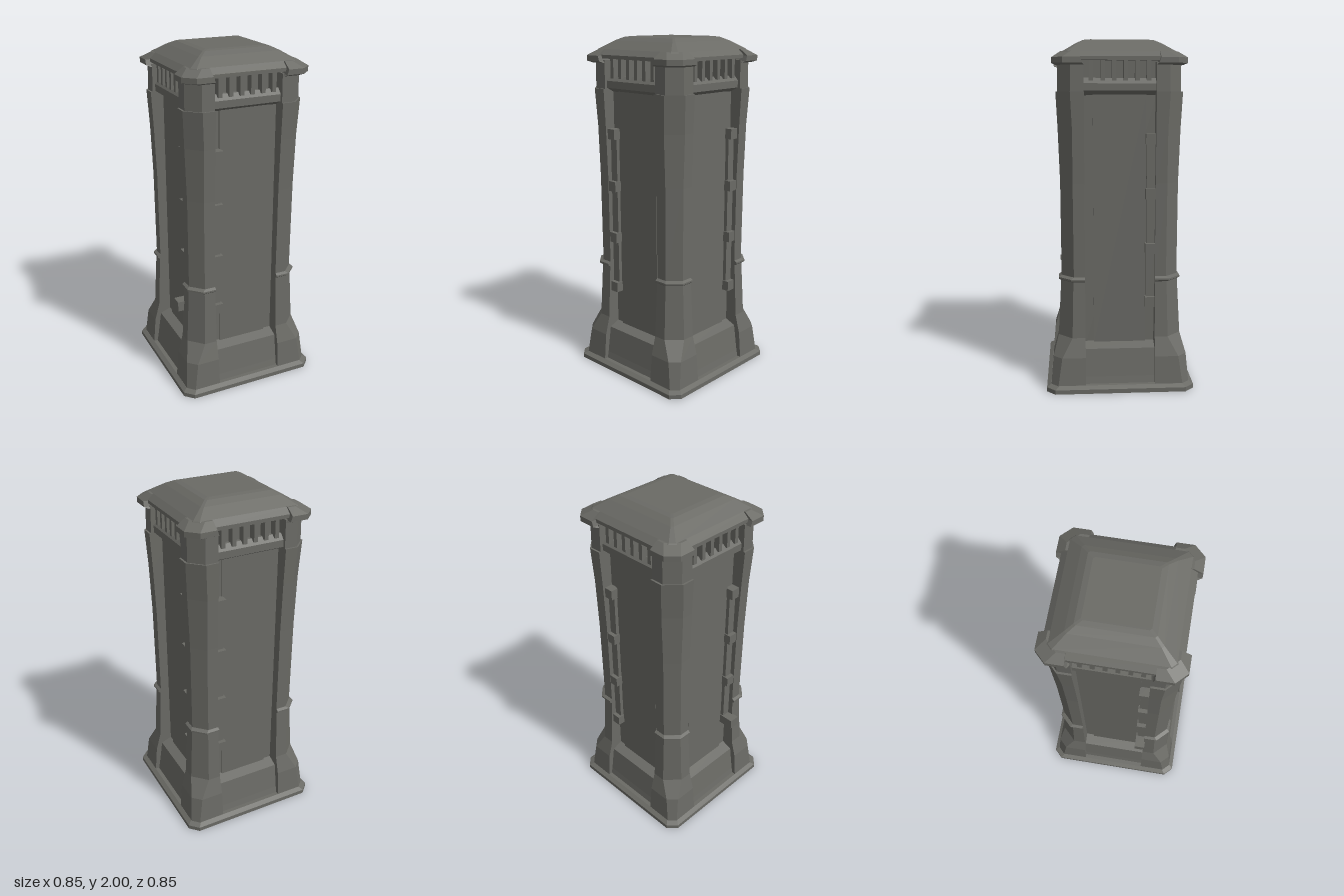
import * as THREE from 'three';

const stone = new THREE.MeshStandardMaterial({ color: 0x6a6a65 });
stone.name = 'dark grey stone';

// Stack of convex cross-sections: rings = [[y, [[x, z], ...]], ...], bottom to top
function loft(name, rings) {
  const pos = [];
  const n = rings[0][1].length;
  const at = (r, i) => {
    const [x, z] = rings[r][1][i % n];
    return [x, rings[r][0], z];
  };
  const tri = (a, b, c) => pos.push(...a, ...b, ...c);
  for (let r = 0; r < rings.length - 1; r++) {
    for (let i = 0; i < n; i++) {
      tri(at(r, i), at(r, i + 1), at(r + 1, i + 1));
      tri(at(r, i), at(r + 1, i + 1), at(r + 1, i));
    }
  }
  const top = rings.length - 1;
  for (let i = 1; i < n - 1; i++) {
    tri(at(0, 0), at(0, i + 1), at(0, i));
    tri(at(top, 0), at(top, i), at(top, i + 1));
  }
  const geo = new THREE.BufferGeometry();
  geo.setAttribute('position', new THREE.Float32BufferAttribute(pos, 3));
  geo.computeVertexNormals();
  const mesh = new THREE.Mesh(geo, stone);
  mesh.name = name;
  return mesh;
}

// Square section with cut corners: half size h, cut c
const square = (y, h, c) => {
  const k = h - c;
  return [y, [[-k, h], [k, h], [h, k], [h, -k], [k, -h], [-k, -h], [-h, -k], [-h, k]]];
};

// Corner section: inner edge i, outer face o, cut c
const corner = (y, i, o, c) => [y, [[i, o], [o - c, o], [o, o - c], [o, i], [i, i]]];

function box(name, x0, x1, y0, y1, z0, z1) {
  const mesh = new THREE.Mesh(new THREE.BoxGeometry(x1 - x0, y1 - y0, z1 - z0), stone);
  mesh.position.set((x0 + x1) / 2, (y0 + y1) / 2, (z0 + z1) / 2);
  mesh.name = name;
  return mesh;
}

// Pillar with flared foot, ring, collar and eave cap
function makePillar() {
  const g = new THREE.Group();
  g.name = 'cornerPillar';
  g.add(
    loft('foot', [
      corner(0.03, 0.2, 0.4, 0.04), corner(0.2, 0.2, 0.385, 0.05),
      corner(0.31, 0.2, 0.355, 0.08), corner(0.64, 0.2, 0.337, 0.07)]),
    loft('ring', [
      corner(0.635, 0.2, 0.337, 0.07), corner(0.645, 0.2, 0.35, 0.07),
      corner(0.655, 0.2, 0.35, 0.07), corner(0.665, 0.2, 0.335, 0.07)]),
    loft('shaft', [
      corner(0.66, 0.2, 0.334, 0.07), corner(1.2, 0.2, 0.336, 0.07),
      corner(1.5, 0.2, 0.346, 0.08), corner(1.71, 0.2, 0.356, 0.08)]),
    loft('collar', [corner(1.71, 0.2, 0.345, 0.07), corner(1.87, 0.2, 0.343, 0.07)]),
    loft('eaveCap', [
      corner(1.855, 0.2, 0.352, 0.06), corner(1.865, 0.21, 0.375, 0.06),
      corner(1.895, 0.22, 0.375, 0.06), corner(1.93, 0.22, 0.325, 0.06)])
  );
  return g;
}

// One wall seen from +z; side = -1 or 1 puts the hinges left or right
function makeWall(side, longLatch) {
  const g = new THREE.Group();
  g.name = 'wall';
  // Sloped plinth
  const bar = (y, z) => [y, [[-0.21, z], [0.21, z], [0.21, 0.2], [-0.21, 0.2]]];
  g.add(loft('plinth', [bar(0.03, 0.378), bar(0.08, 0.368), bar(0.24, 0.345), bar(0.268, 0.275)]));
  // Door leaf
  g.add(box('door', -0.15, 0.15, 0.26, 1.7, 0.25, 0.288));
  // Lintel with sloped top and underside
  g.add(loft('lintel', [bar(1.69, 0.28), bar(1.715, 0.328), bar(1.755, 0.328), bar(1.785, 0.3)]));
  // Row of small posts below the eave
  for (let i = 0; i < 6; i++) {
    const x = -0.16 + i * 0.064;
    g.add(box('eavePost', x - 0.012, x + 0.012, 1.77, 1.885, 0.25, 0.325));
  }
  // Hinge blocks joined by bars
  const add = (name, a, b, y0, y1, z) =>
    g.add(box(name, Math.min(a * side, b * side), Math.max(a * side, b * side), y0, y1, 0.25, z));
  [0.48, 0.795, 1.11, 1.42].forEach((y, i) => {
    add('hingeBlock', 0.145, 0.208, y, y + 0.06, i === 0 && longLatch ? 0.382 : 0.332);
    if (i < 3) add('hingeBar', 0.152, 0.203, y + 0.06, y + 0.315, 0.308);
  });
  return g;
}

export function createModel() {
  const model = new THREE.Group();
  model.name = 'tower';

  model.add(
    loft('baseSlab', [square(0, 0.425, 0.05), square(0.025, 0.425, 0.05), square(0.04, 0.4, 0.045)]),
    loft('core', [square(0.03, 0.28, 0.02), square(1.89, 0.28, 0.02)]),
    loft('roof', [
      square(1.88, 0.347, 0.06), square(1.9, 0.347, 0.06), square(1.93, 0.312, 0.025),
      square(1.975, 0.24, 0.012), square(1.995, 0.2, 0.01), square(2, 0.17, 0.01)])
  );

  // Front, +x side, back, -x side
  for (let q = 0; q < 4; q++) {
    const turn = q * Math.PI / 2;
    const pillar = makePillar();
    const wall = makeWall(q % 2 === 0 ? -1 : 1, q === 3);
    pillar.rotation.y = wall.rotation.y = turn;
    model.add(pillar, wall);
  }
  return model;
}
